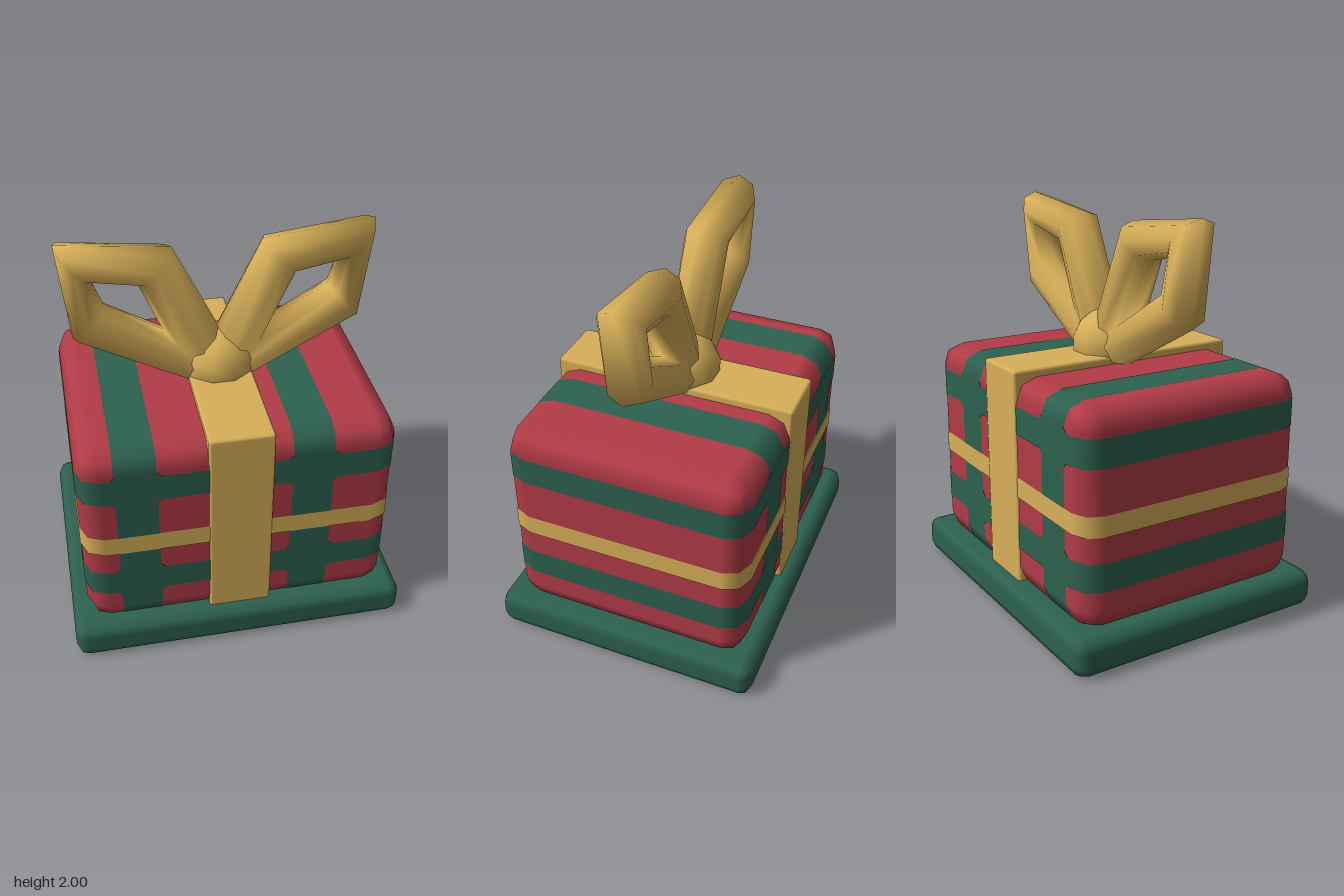
import * as THREE from 'three';
import { RoundedBoxGeometry } from 'three/addons/geometries/RoundedBoxGeometry.js';

const material = (name, color) => {
  const m = new THREE.MeshStandardMaterial({ color });
  m.name = name;
  return m;
};

// Rounded block spanning y0..y1, centred on x and z, with two facets per rounded edge
function block(w, d, y0, y1, r) {
  return new RoundedBoxGeometry(w, y1 - y0, d, 1, r).translate(0, (y0 + y1) / 2, 0);
}

// Box dimensions
const W = 1.55, D = 1.23, Y0 = 0.16, Y1 = 1.23, R = 0.11;

// Thin painted band around the box: the box shell squeezed to a..b along one axis
function band(axis, a, b, lift) {
  const g = new RoundedBoxGeometry(W + 2 * lift, Y1 - Y0 + 2 * lift, D + 2 * lift, 1, R + lift);
  const p = g.attributes.position;
  const k = 'xyz'.indexOf(axis);
  for (let i = 0; i < p.count; i++) p.setComponent(i, k, p.getComponent(i, k) > 0 ? b : a);
  if (axis === 'x') g.translate(0, (Y0 + Y1) / 2, 0);
  return g;
}

// Closed, mitred tube through four corners; each corner is [outer x, outer y, inner x, inner y]
function bowLoop(side) {
  const corners = [
    [0.215, 1.94, 0.385, 1.77],
    [0.757, 2.0, 0.6, 1.815],
    [0.705, 1.5, 0.545, 1.67],
    [-0.249, 0.99, 0.27, 1.5],
  ];
  const n = 8, thickness = 0.115;
  const positions = [], index = [];
  corners.forEach(([ox, oy, ix, iy], i) => {
    const next = (i + 1) % corners.length;
    for (let j = 0; j < n; j++) {
      const t = (j / n) * Math.PI * 2, c = Math.cos(t);
      positions.push(
        side * ((ox + ix) / 2 + (c * (ox - ix)) / 2),
        (oy + iy) / 2 + (c * (oy - iy)) / 2,
        thickness * Math.sin(t),
      );
      const k = (j + 1) % n;
      const [p, q, r, s] = [i * n + j, i * n + k, next * n + k, next * n + j];
      if (side > 0) index.push(p, q, s, q, r, s);
      else index.push(p, s, q, q, s, r);
    }
  });
  const g = new THREE.BufferGeometry();
  g.setAttribute('position', new THREE.Float32BufferAttribute(positions, 3));
  g.setIndex(index);
  g.computeVertexNormals();
  return g;
}

export function createModel() {
  const model = new THREE.Group();
  model.name = 'giftBox';
  const red = material('red', 0xb23c46);
  const green = material('green', 0x2d614f);
  const gold = material('gold', 0xd8b059);

  const add = (name, geometry, mat, parent = model) => {
    const mesh = new THREE.Mesh(geometry, mat);
    mesh.name = name;
    parent.add(mesh);
    return mesh;
  };

  // Base and box
  add('base', block(1.71, 1.39, 0, 0.19, 0.06), green);
  add('box', block(W, D, Y0, Y1, R), red);

  // Plaid bands
  const plaid = new THREE.Group();
  plaid.name = 'plaid';
  model.add(plaid);
  const columns = [[-0.6, -0.4], [0.25, 0.45]];
  const rows = [[0.37, 0.51], [0.96, 1.1]];
  for (const [a, b] of columns) add('verticalStripe', band('x', a, b, 0.002), green, plaid);
  for (const [a, b] of rows) add('horizontalStripe', band('y', a, b, 0.003), green, plaid);
  add('goldStripe', band('y', 0.64, 0.74, 0.005), gold, plaid);

  // Small diamonds soften the corners where the green stripes cross
  const diamond = new THREE.BoxGeometry(0.034, 0.034, 0.004).rotateZ(Math.PI / 4);
  for (const x of columns.flat())
    for (const y of rows.flat())
      for (const z of [-D / 2, D / 2])
        add('stripeCorner', diamond, green, plaid).position.set(x, y, z);

  // Ribbon over the box
  add('ribbon', block(0.316, 1.25, 0.15, 1.27, 0.015), gold);

  // Bow
  const bow = new THREE.Group();
  bow.name = 'bow';
  model.add(bow);
  add('leftLoop', bowLoop(1), gold, bow);
  add('rightLoop', bowLoop(-1), gold, bow);
  add('knot', new THREE.SphereGeometry(0.188, 10, 7), gold, bow).position.y = 1.3;

  return model;
}
